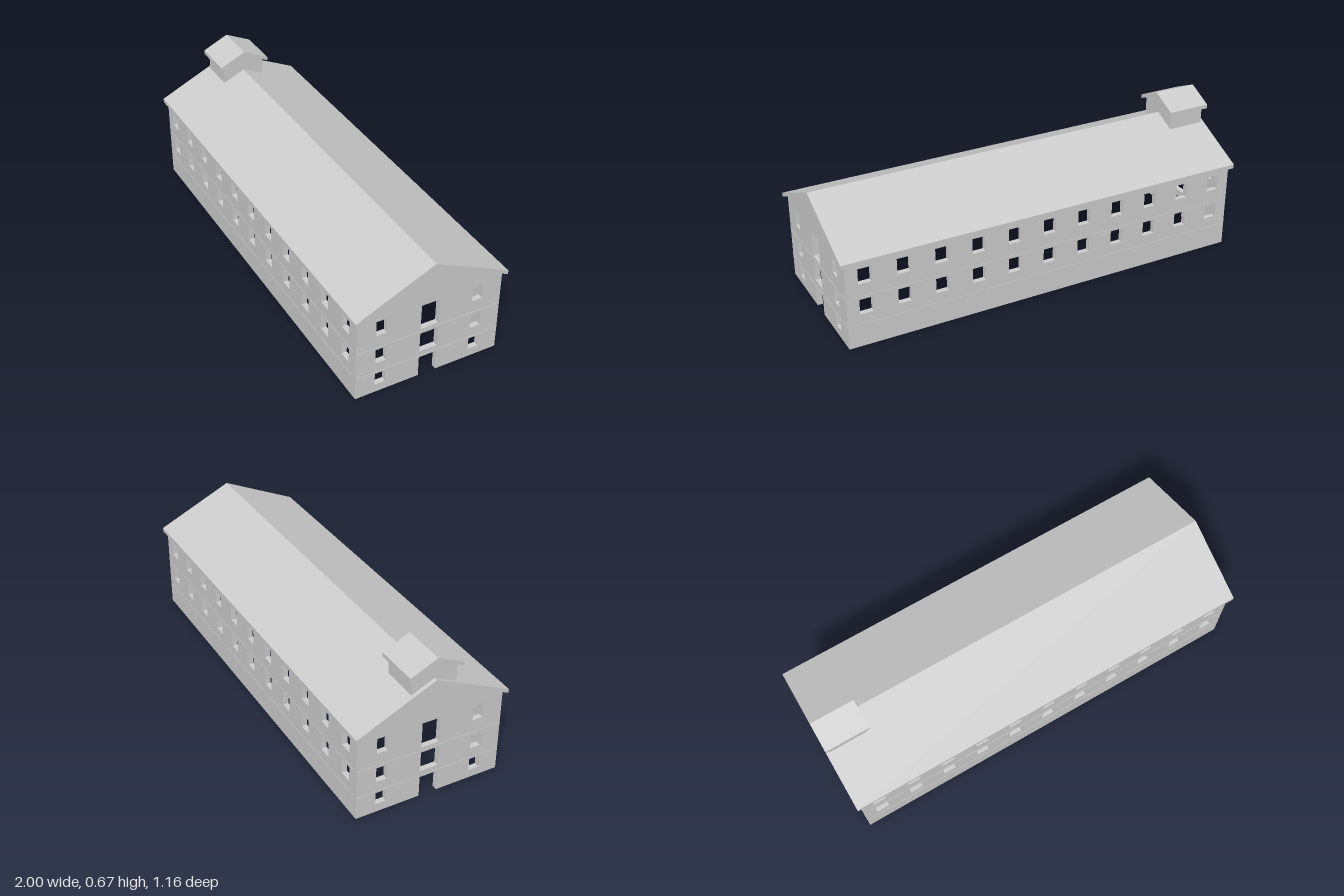
import * as THREE from 'three';

const LEN = 1.848, HALF_W = 0.332, T = 0.024;      // wall shell
const SLOPE = 0.464, RIDGE = 0.566, ROOF_T = 0.019; // main roof
const material = new THREE.MeshStandardMaterial({ color: 0xcccccc, flatShading: true });

function add(parent, name, geometry) {
  const mesh = new THREE.Mesh(geometry, material);
  mesh.name = name;
  parent.add(mesh);
  return mesh;
}

const polygon = pts => new THREE.Shape(pts.map(([x, y]) => new THREE.Vector2(x, y)));

function cutRect(shape, cx, w, y0, y1) {
  const a = cx - w / 2, b = cx + w / 2;
  shape.holes.push(new THREE.Path([[a, y0], [a, y1], [b, y1], [b, y0]].map(p => new THREE.Vector2(...p))));
}

// Extrusion centred on its own depth
function slab(shape, depth) {
  return new THREE.ExtrudeGeometry(shape, { depth, bevelEnabled: false }).translate(0, 0, -depth / 2);
}

// Extrusion running along x, with the profile drawn across z
const alongX = (shape, depth) => slab(shape, depth).rotateY(Math.PI / 2);

// Pitched roof profile of constant vertical thickness
function roofShape(half, ridge, thick) {
  const eave = ridge - half * SLOPE;
  return polygon([[-half, eave - thick], [0, ridge - thick], [half, eave - thick],
    [half, eave], [0, ridge], [-half, eave]]);
}

function longWall() {
  const h = LEN / 2 - T;
  const shape = polygon([[-h, 0], [h, 0], [h, 0.398], [-h, 0.398]]);
  for (let i = -5; i <= 5; i++) {
    cutRect(shape, i * 0.168, 0.058, 0.152, 0.22);
    cutRect(shape, i * 0.168, 0.058, 0.292, 0.362);
  }
  return slab(shape, T);
}

function gableWall() {
  const peak = RIDGE - ROOF_T + 0.003, eave = peak - HALF_W * SLOPE, d = 0.041;
  const shape = polygon([[-HALF_W, 0], [-d, 0], [-d, 0.096], [d, 0.096], [d, 0],
    [HALF_W, 0], [HALF_W, eave], [0, peak], [-HALF_W, eave]]);
  for (const x of [-0.22, 0.22]) {
    cutRect(shape, x, 0.048, 0.039, 0.096);
    cutRect(shape, x, 0.048, 0.152, 0.22);
    cutRect(shape, x, 0.048, 0.292, 0.363);
  }
  cutRect(shape, 0, 0.082, 0.127, 0.22);
  cutRect(shape, 0, 0.082, 0.245, 0.363);
  return alongX(shape, T);
}

export function createModel() {
  const model = new THREE.Group();
  model.name = 'longBuilding';
  const building = new THREE.Group();
  building.name = 'building';
  building.rotation.y = -Math.PI / 12;
  model.add(building);

  // Walls and the fine floor lines that run round them
  for (const s of [1, -1]) {
    const z = s * (HALF_W - T / 2), x = s * (LEN / 2 - T / 2);
    add(building, s > 0 ? 'frontWall' : 'backWall', longWall()).position.z = z;
    add(building, s > 0 ? 'leftGableWall' : 'rightGableWall', gableWall()).position.x = x;
    for (const y of [0.104, 0.2325]) {
      add(building, 'longFloorLine', new THREE.BoxGeometry(LEN - 2 * T, 0.003, T + 0.003)).position.set(0, y, z);
      add(building, 'gableFloorLine', new THREE.BoxGeometry(T + 0.003, 0.003, 2 * HALF_W)).position.set(x, y, 0);
    }
  }

  // Main roof
  add(building, 'roof', alongX(roofShape(0.347, RIDGE, ROOF_T), 1.885));

  // Small roof turret straddling the ridge at one end
  const turret = new THREE.Group();
  turret.name = 'roofTurret';
  turret.position.x = -0.842;
  building.add(turret);
  const w = 0.101, base = RIDGE - 0.01, top = 0.651;
  add(turret, 'turretBody', alongX(polygon([[-w, base - w * SLOPE], [0, base], [w, base - w * SLOPE],
    [w, top - w * SLOPE], [0, top], [-w, top - w * SLOPE]]), 0.168));
  add(turret, 'turretRoof', alongX(roofShape(0.12, 0.667, 0.018), 0.201));
  return model;
}
